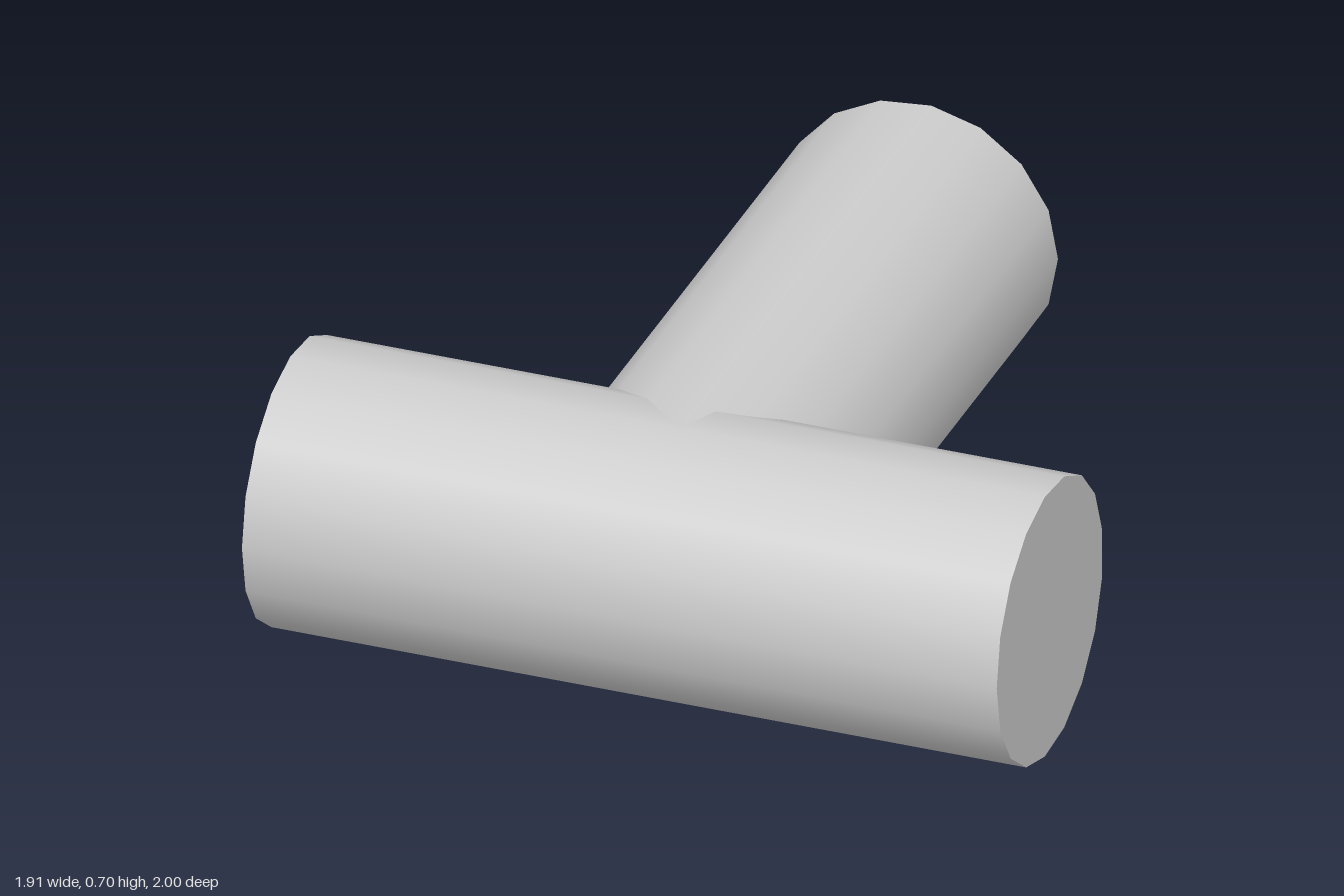
import * as THREE from 'three';

const RADIUS = 0.354;
const SIDES = 17;
const AXIS_Y = 0.3525;

export function createModel() {
  const group = new THREE.Group();
  const material = new THREE.MeshStandardMaterial({ color: 0xcccccc });

  const addPipe = (name, length, thetaStart, orient) => {
    const geometry = new THREE.CylinderGeometry(RADIUS, RADIUS, length, SIDES, 1, false, thetaStart);
    orient(geometry);
    const mesh = new THREE.Mesh(geometry, material);
    mesh.name = name;
    group.add(mesh);
  };

  // Main pipe across the front, with a corner of its polygon facing forward
  addPipe('mainPipe', 1.914, 0, (g) => g.rotateZ(Math.PI / 2).translate(0, AXIS_Y, 0.646));

  // Branch pipe running to the back, ending inside the main pipe at its top ridge
  const back = -1, inner = 0.678;
  addPipe('branchPipe', inner - back, Math.PI / 2, (g) =>
    g.rotateX(Math.PI / 2).translate(-0.003, AXIS_Y, (back + inner) / 2));

  return group;
}
